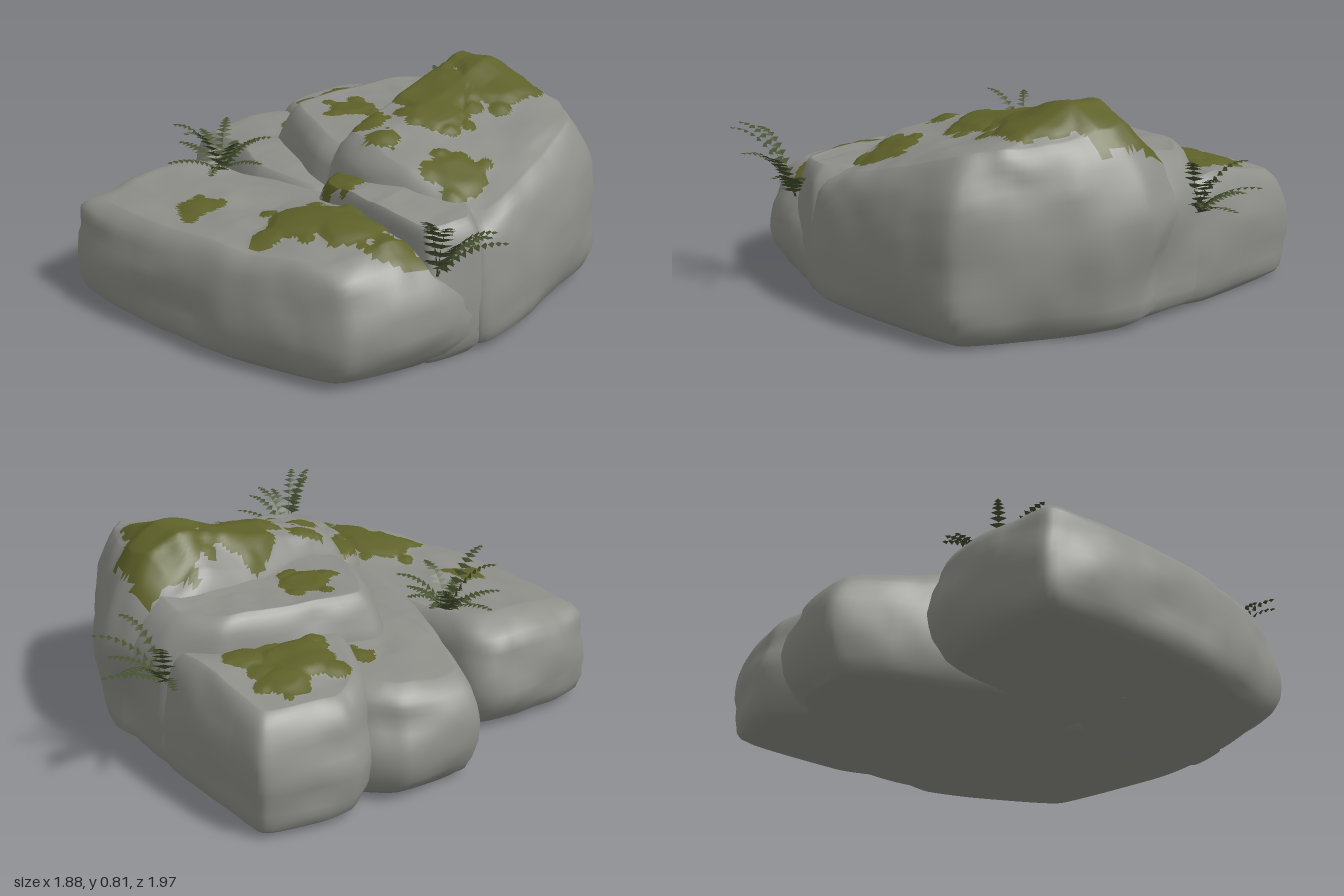
import * as THREE from 'three';

const rockMat = new THREE.MeshStandardMaterial({ color: 0x8e8e89 });
rockMat.name = 'grey stone';
const mossMat = new THREE.MeshStandardMaterial({ color: 0x5e6129 });
mossMat.name = 'olive moss';
const fernMat = new THREE.MeshStandardMaterial({ color: 0x465030, side: THREE.DoubleSide });
fernMat.name = 'fern green';

// Seeded hash and linear value noise in the range -1..1
const hash = (x, y, z) => {
  const s = Math.sin(x * 127.1 + y * 311.7 + z * 74.7) * 43758.5453;
  return s - Math.floor(s);
};
function noise(x, y, z) {
  const ix = Math.floor(x), iy = Math.floor(y), iz = Math.floor(z);
  const fx = x - ix, fy = y - iy, fz = z - iz;
  let sum = 0;
  for (let k = 0; k < 8; k++) {
    const a = k & 1, b = (k >> 1) & 1, c = k >> 2;
    sum += hash(ix + a, iy + b, iz + c) * (a ? fx : 1 - fx) * (b ? fy : 1 - fy) * (c ? fz : 1 - fz);
  }
  return sum * 2 - 1;
}

// Side profile: outline scale and height fraction, from the base up to the shoulder
const SCALES = [0.004, 0.84, 0.93, 0.98, 1, 0.985, 0.95, 0.91, 0.86, 0.79];
const LEVELS = [0, 0, 0.08, 0.22, 0.4, 0.58, 0.74, 0.86, 0.94, 1];
const SHOULDER = 0.79;

// Surround each moss patch with small satellite spots
function scatterMoss(patches) {
  return patches.flatMap(([x, z, r]) => {
    const spots = [[x, z, r]];
    for (let k = 0; k < 5; k++) {
      const a = (k + hash(x, k, z)) * 1.257, d = r * (0.85 + 0.4 * hash(z, k, x));
      spots.push([x + Math.cos(a) * d, z + Math.sin(a) * d, r * (0.2 + 0.25 * hash(k, x, z))]);
    }
    return spots;
  });
}

// How far inside a moss patch a point lies; positive means mossy
function mossDepth(spots, x, z) {
  let d = -1;
  for (const [px, pz, r] of spots) d = Math.max(d, r - Math.hypot(x - px, z - pz));
  return d + 0.022 * noise(x * 20, 3.5, z * 20);
}

// A boulder lofted from an angular footprint (clockwise from above) to a sloped top
function makeBoulder(name, outline, height, patches) {
  const SEG = 144, INNER = 30;
  const moss = scatterMoss(patches);
  const corners = outline.map(([x, z]) => new THREE.Vector3(x, 0, z));
  const pts = new THREE.CatmullRomCurve3(corners, true, 'catmullrom', 0.2).getSpacedPoints(SEG).slice(0, SEG);
  const c = pts.reduce((s, p) => s.add(p), new THREE.Vector3()).divideScalar(SEG);

  const rings = [];
  SCALES.forEach((s, i) => {
    if (i > 1) rings.push([(s + SCALES[i - 1]) / 2, (LEVELS[i] + LEVELS[i - 1]) / 2]);
    rings.push([s, LEVELS[i]]);
  });
  for (let i = 1; i <= INNER; i++) rings.push([SHOULDER * (1 - i / INNER) + 0.004, 1]);

  const pos = [];
  for (const [s, t] of rings) {
    for (const p of pts) {
      const dx = p.x - c.x, dz = p.z - c.z, rim = Math.min(s, SHOULDER);
      let x = c.x + dx * s, z = c.z + dz * s;
      let y = height(c.x + dx * rim, c.z + dz * rim) * t;
      // broad facets and level strata on the walls, softer lumps on top
      if (t > 0) {
        const wall = 0.3 + 0.7 * THREE.MathUtils.smoothstep(s, 0.55, 0.79);
        const facets = noise(x * 4, y * 7, z * 4) * 0.05 + noise(x * 9, y * 13 + 5, z * 9) * 0.018;
        const n = wall * (facets + noise(x * 2, y * 14, z * 2) * 0.02);
        x += dx * n;
        z += dz * n;
        y += t * t * (noise(x * 5, 9.5, z * 5) * 0.026 + noise(x * 11, 2.5, z * 11) * 0.01);
        if (t === 1) y += THREE.MathUtils.clamp(mossDepth(moss, x, z) * 0.3, 0, 0.012);
      }
      pos.push(x, y, z);
    }
  }

  // Sort faces into bare stone and moss
  const stone = [], green = [];
  for (let j = 0; j < rings.length - 1; j++) {
    for (let i = 0; i < SEG; i++) {
      const a = j * SEG + i, b = j * SEG + (i + 1) % SEG, d = a + SEG, e = b + SEG;
      for (const tri of [[a, d, b], [b, d, e]]) {
        const mean = (k) => tri.reduce((sum, v) => sum + pos[v * 3 + k], 0) / 3;
        const mossy = rings[j][1] > 0.85 && mossDepth(moss, mean(0), mean(2)) > 0;
        (mossy ? green : stone).push(...tri);
      }
    }
  }
  const geo = new THREE.BufferGeometry();
  geo.setAttribute('position', new THREE.Float32BufferAttribute(pos, 3));
  geo.setIndex(stone.concat(green));
  geo.addGroup(0, stone.length, 0);
  geo.addGroup(stone.length, green.length, 1);
  geo.computeVertexNormals();
  const mesh = new THREE.Mesh(geo, [rockMat, mossMat]);
  mesh.name = name;
  return mesh;
}

// A fern: arching fronds with paired pointed leaflets, fanned around a heading
function makeFern(name, root, { heading, spread, count, reach, rise, seed }) {
  const pos = [];
  const tri = (...v) => v.forEach((p) => pos.push(p.x, p.y, p.z));
  for (let f = 0; f < count; f++) {
    const r1 = hash(f, seed, 1), r2 = hash(f, seed, 2);
    const az = heading + spread * ((f + 0.5 + (r1 - 0.5) * 0.7) / count - 0.5);
    const dir = new THREE.Vector3(Math.cos(az), 0, Math.sin(az));
    const side = new THREE.Vector3(-dir.z, 0, dir.x);
    const len = reach * (0.65 + 0.35 * r1), up = rise * (0.25 + 0.75 * r2);
    const tip = root.clone().addScaledVector(dir, len).setY(root.y + up);
    const mid = root.clone().addScaledVector(dir, len * 0.4).setY(root.y + up * 0.95 + 0.02);
    const curve = new THREE.QuadraticBezierCurve3(root, mid, tip);
    const off = (v, w) => v.clone().addScaledVector(side, w);
    const N = 11;
    for (let i = 0; i < N; i++) {
      const t = i / N, p = curve.getPoint(t), tan = curve.getTangent(t);
      tri(off(p, -0.004), off(p, 0.004), curve.getPoint((i + 1) / N));
      if (i < 1) continue;
      const w = 0.045 * Math.pow(1 - t, 0.5);
      for (const s of [-1, 1]) {
        const end = off(p, s * w).addScaledVector(tan, w * 0.6);
        end.y -= w * 0.15;
        tri(p, p.clone().addScaledVector(tan, 0.022), end);
      }
    }
  }
  const geo = new THREE.BufferGeometry();
  geo.setAttribute('position', new THREE.Float32BufferAttribute(pos, 3));
  geo.computeVertexNormals();
  const mesh = new THREE.Mesh(geo, fernMat);
  mesh.name = name;
  return mesh;
}

export function createModel() {
  const model = new THREE.Group();
  model.name = 'mossyRock';
  const { min, max, hypot, exp, abs, PI } = Math;

  // Low slab along the front, with a mossy swell
  model.add(makeBoulder('frontSlab',
    [[-0.78, 0.47], [-0.64, 0.34], [0.7, 0.22], [0.77, 0.48], [0.6, 0.83], [0.13, 0.97], [-0.4, 1.0], [-0.75, 0.96]],
    (x, z) => 0.43 + 0.05 * exp(-((hypot(x - 0.28, z - 0.55) / 0.25) ** 2)) - 0.1 * max(0, z - 0.75),
    [[0.2, 0.62, 0.14], [0.38, 0.58, 0.11], [0.57, 0.56, 0.08], [-0.22, 0.74, 0.07]]));

  // Low blocks on the left
  model.add(makeBoulder('leftBlock',
    [[-0.95, 0.12], [-0.93, -0.2], [-0.75, -0.36], [0.05, -0.2], [0.1, 0.4], [-0.3, 0.42], [-0.56, 0.3]],
    (x) => 0.45 + 0.13 * min(0, x + 0.45),
    [[-0.59, -0.12, 0.05]]));
  model.add(makeBoulder('backLeftBlock',
    [[-0.9, -0.4], [-0.82, -0.73], [-0.3, -0.76], [-0.05, -0.65], [-0.1, -0.15], [-0.5, -0.08], [-0.8, -0.22]],
    (x) => 0.48 + 0.13 * min(0, x + 0.5),
    [[-0.54, -0.38, 0.14], [-0.65, -0.5, 0.09], [-0.45, -0.53, 0.08]]));

  // Stepped blocks rising to the summit
  model.add(makeBoulder('middleShelf',
    [[-0.51, 0.05], [-0.4, -0.6], [-0.22, -0.76], [0.1, -0.72], [0.18, 0.28], [-0.1, 0.29]],
    (x, z) => 0.62 + 0.05 * x - 0.1 * max(0, z),
    [[-0.22, -0.1, 0.1]]));
  model.add(makeBoulder('summitBlock',
    [[-0.2, -0.4], [-0.18, -0.72], [0.07, -0.79], [0.32, -0.71], [0.72, -0.48], [0.8, 0.12], [0.77, 0.34], [0.3, 0.38], [-0.04, 0.28]],
    (x, z) => 0.79 - 0.3 * max(0, x - 0.18) - 0.9 * max(0, 0.03 - x) - 0.21 * max(0, z + 0.45) - 0.5 * max(0, -0.5 - z),
    [[0.08, -0.55, 0.16], [0.26, -0.42, 0.16], [0.12, -0.2, 0.17], [0.23, -0.08, 0.12], [0.08, 0.11, 0.06], [0.2, 0.19, 0.06], [0.51, 0.13, 0.1]]));
  model.add(makeBoulder('frontLedge',
    [[0, 0.3], [0.3, 0.15], [0.62, 0.15], [0.77, 0.3], [0.7, 0.51], [0.38, 0.5], [0.06, 0.44]],
    (x) => 0.53 - 0.04 * abs(x - 0.4),
    [[0.17, 0.36, 0.08]]));

  // Ferns rooted in the crevices
  model.add(makeFern('frontFern', new THREE.Vector3(-0.45, 0.41, 0.42),
    { heading: 0, spread: PI * 2, count: 12, reach: 0.23, rise: 0.24, seed: 3 }));
  model.add(makeFern('rightFern', new THREE.Vector3(0.7, 0.36, 0.49),
    { heading: 0.1, spread: 2.8, count: 8, reach: 0.25, rise: 0.29, seed: 7 }));
  model.add(makeFern('backFern', new THREE.Vector3(-0.24, 0.36, -0.73),
    { heading: -PI / 2, spread: 2.6, count: 8, reach: 0.27, rise: 0.25, seed: 11 }));
  return model;
}
